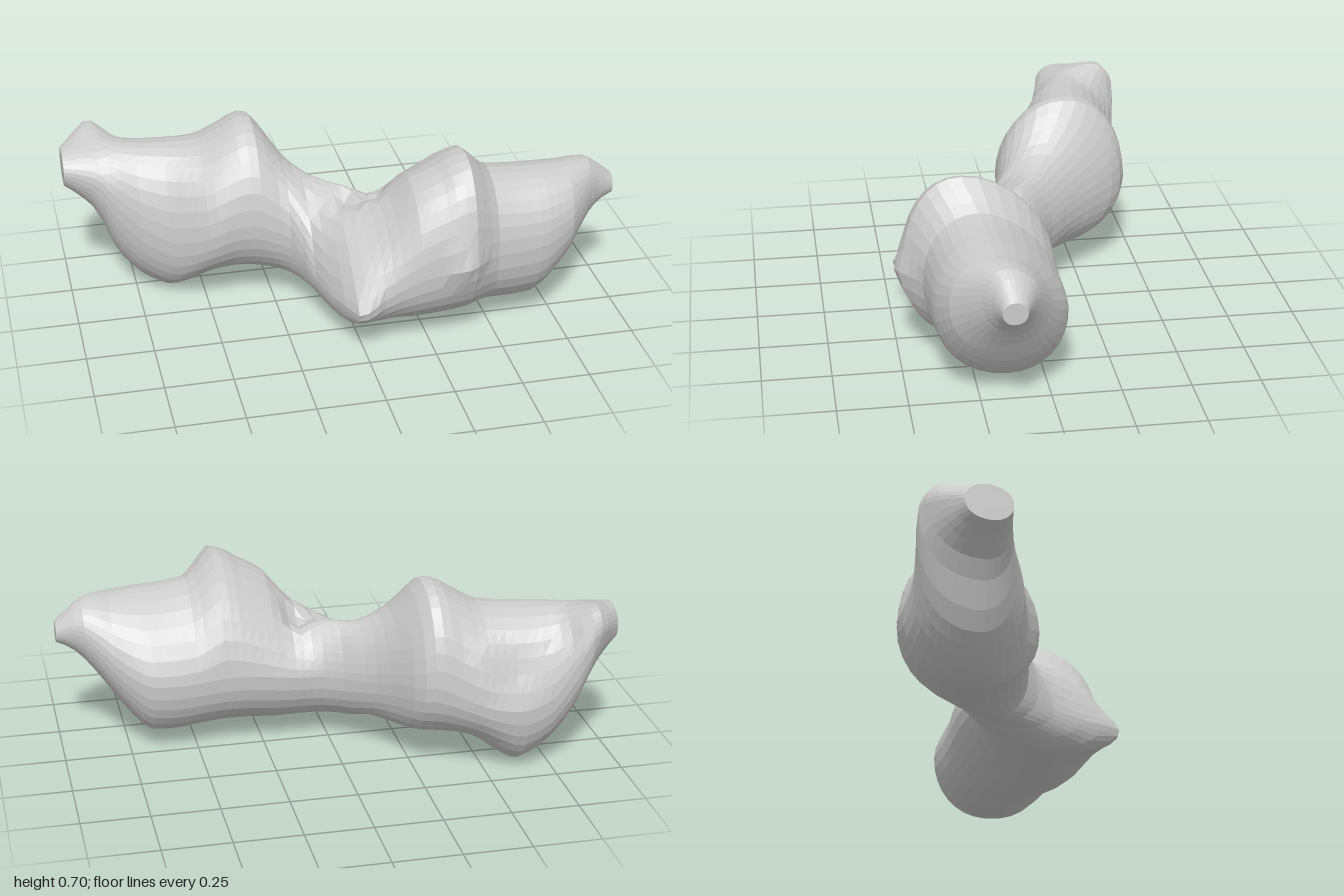
import * as THREE from 'three';

// Cross-sections along x, as [x, bottom y, top y, back z, front z,
// y where the back is widest, y where the front is widest, z at top, z at bottom,
// fullness of the upper back, fullness of the upper front]
const LEFT = [
  [-1.0, 0.45, 0.585, -0.38, -0.21, 0.52, 0.52, -0.3, -0.29, 2, 2],
  [-0.88, 0.33, 0.61, -0.5, -0.18, 0.53, 0.48, -0.36, -0.29, 2, 2],
  [-0.82, 0.16, 0.6, -0.5, -0.15, 0.45, 0.4, -0.3, -0.29, 2, 2],
  [-0.74, 0.065, 0.6, -0.49, -0.1, 0.31, 0.33, -0.27, -0.28, 2, 2],
  [-0.62, 0.0, 0.6, -0.5, -0.05, 0.27, 0.27, -0.25, -0.28, 2, 2],
  [-0.49, 0.09, 0.61, -0.49, 0.03, 0.29, 0.32, -0.23, -0.22, 2, 2],
  [-0.39, 0.11, 0.67, -0.46, 0.04, 0.33, 0.36, -0.21, -0.19, 2.1, 2],
  [-0.31, 0.11, 0.7, -0.45, 0.05, 0.37, 0.36, -0.21, -0.17, 2.1, 2],
  [-0.25, 0.11, 0.63, -0.42, 0.06, 0.36, 0.33, -0.18, -0.13, 2, 2],
  [-0.19, 0.11, 0.55, -0.32, 0.08, 0.34, 0.3, -0.12, -0.06, 2, 2],
  [-0.13, 0.105, 0.51, -0.23, 0.2, 0.31, 0.19, -0.07, 0.02, 1.9, 1.4],
];
const RIGHT = [
  [-0.08, 0.07, 0.485, -0.175, 0.36, 0.3, 0.19, -0.05, 0.12, 1.8, 1.3],
  [-0.03, 0.062, 0.48, -0.125, 0.45, 0.29, 0.19, -0.01, 0.17, 1.7, 1.5],
  [0.04, 0.058, 0.48, -0.085, 0.46, 0.29, 0.22, 0.05, 0.18, 1.7, 1.8],
  [0.12, 0.055, 0.51, -0.08, 0.46, 0.29, 0.26, 0.18, 0.19, 1.6, 2],
  [0.2, 0.05, 0.6, -0.08, 0.47, 0.3, 0.3, 0.24, 0.2, 1.6, 2.1],
  [0.3, 0.055, 0.655, -0.075, 0.48, 0.31, 0.33, 0.26, 0.2, 1.8, 2.2],
  [0.4, 0.06, 0.7, -0.07, 0.48, 0.31, 0.35, 0.27, 0.18, 1.9, 2.2],
  [0.49, 0.06, 0.605, -0.07, 0.42, 0.3, 0.34, 0.22, 0.15, 1.7, 2.2],
  [0.68, 0.06, 0.588, -0.07, 0.405, 0.3, 0.35, 0.21, 0.14, 1.65, 2.1],
  [0.8, 0.21, 0.582, 0.0, 0.36, 0.37, 0.4, 0.2, 0.16, 1.8, 2.1],
  [0.91, 0.36, 0.575, 0.07, 0.25, 0.47, 0.47, 0.18, 0.17, 2, 2],
  [1.0, 0.42, 0.5, 0.12, 0.205, 0.46, 0.46, 0.165, 0.165, 2, 2],
];

// Local lumps and dents: [x, y, z, radius, push x, push y, push z]
const LUMPS = [
  [-0.03, 0.19, 0.47, 0.1, 0, 0, 0.04],
  [0.36, 0.35, 0.48, 0.1, 0, 0, 0.03],
  [-0.89, 0.6, -0.42, 0.12, 0, 0.03, -0.03],
  [-0.6, 0.42, -0.49, 0.15, 0, 0, 0.03],
  [0.0, 0.47, 0.09, 0.08, 0, -0.05, 0],
  [0.1, 0.48, 0.09, 0.08, 0, -0.06, 0],
];

const SIDES = 32, STEPS = 60, LOWER_FULLNESS = 2.15;

// Blend of neighbouring sections, lightly smoothed
function sectionAt(sections, x) {
  let i = 0;
  while (i < sections.length - 2 && sections[i + 1][0] < x) i++;
  const a = sections[i], b = sections[i + 1];
  const t = (x - a[0]) / (b[0] - a[0]);
  const before = sections[Math.max(i - 1, 0)], after = sections[Math.min(i + 2, sections.length - 1)];
  return a.map((v, k) => {
    const bend = ((v - before[k]) - (after[k] - b[k])) * t * (1 - t) * 0.2;
    return k === 0 ? x : THREE.MathUtils.lerp(v, b[k], t) + bend;
  });
}

function bodyGeometry(sections) {
  const pos = [], index = [], p = new THREE.Vector3(), c = new THREE.Vector3();
  const x0 = sections[0][0], x1 = sections[sections.length - 1][0];
  for (let i = 0; i <= STEPS; i++) {
    const [x, yb, yt, zk, zf, yk, yf, zt, zb, nk, nf] = sectionAt(sections, x0 + (x1 - x0) * i / STEPS);
    for (let j = 0; j < SIDES; j++) {
      const a = j / SIDES * Math.PI * 2, cos = Math.cos(a), sin = Math.sin(a);
      // each quadrant is a quarter superellipse that meets its neighbours at the extremes
      const up = sin >= 0, front = cos >= 0;
      const power = 2 / (up ? (front ? nf : nk) : LOWER_FULLNESS);
      const zc = up ? zt : zb, yc = front ? yf : yk;
      const u = Math.abs(cos) ** power, v = Math.abs(sin) ** power;
      p.set(x, yc + ((up ? yt : yb) - yc) * v, zc + ((front ? zf : zk) - zc) * u);
      p.y = Math.max(0, p.y);
      for (const [lx, ly, lz, r, dx, dy, dz] of LUMPS) {
        const w = Math.max(0, 1 - p.distanceTo(c.set(lx, ly, lz)) / r);
        p.x += dx * w;
        p.y += dy * w;
        p.z += dz * w;
      }
      pos.push(p.x, p.y, p.z);
    }
  }
  const at = (i, j) => i * SIDES + j % SIDES;
  for (let i = 0; i < STEPS; i++) for (let j = 0; j < SIDES; j++) {
    index.push(at(i, j), at(i + 1, j), at(i + 1, j + 1), at(i, j), at(i + 1, j + 1), at(i, j + 1));
  }
  // flat end faces
  for (let j = 1; j < SIDES - 1; j++) {
    index.push(at(0, 0), at(0, j), at(0, j + 1));
    index.push(at(STEPS, 0), at(STEPS, j + 1), at(STEPS, j));
  }
  const g = new THREE.BufferGeometry();
  g.setAttribute('position', new THREE.Float32BufferAttribute(pos, 3));
  g.setIndex(index);
  g.computeVertexNormals();
  return g;
}

export function createModel() {
  const group = new THREE.Group();
  group.name = 'twinLobedRock';
  const material = new THREE.MeshStandardMaterial({ color: 0xcccccc, flatShading: true });
  // both lobes and the neck between them form one continuous skin
  const body = new THREE.Mesh(bodyGeometry([...LEFT, ...RIGHT]), material);
  body.name = 'lobedBody';
  group.add(body);
  return group;
}
